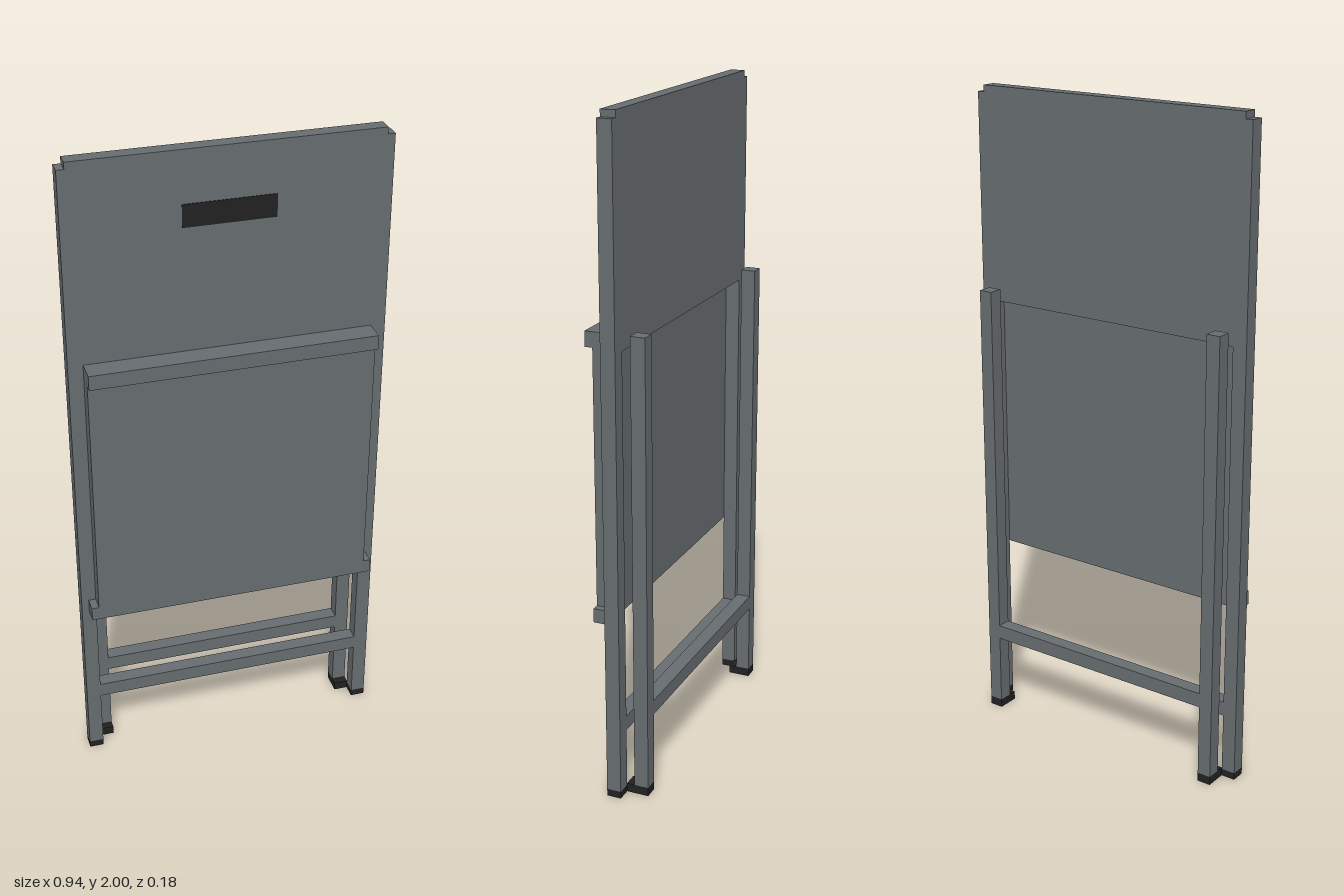
import * as THREE from 'three';

const frameGrey = new THREE.MeshStandardMaterial({ color: 0x666c6f });
frameGrey.name = 'frameGrey';
const rubberBlack = new THREE.MeshStandardMaterial({ color: 0x212121 });
rubberBlack.name = 'rubberBlack';

// Box given by its limits along each axis
function box(name, material, [x0, x1], [y0, y1], [z0, z1]) {
  const mesh = new THREE.Mesh(new THREE.BoxGeometry(x1 - x0, y1 - y0, z1 - z0), material);
  mesh.position.set((x0 + x1) / 2, (y0 + y1) / 2, (z0 + z1) / 2);
  mesh.name = name;
  return mesh;
}

export function createModel() {
  const model = new THREE.Group();
  model.name = 'foldedChair';

  const outer = 0.47, mid = 0.426, inner = 0.383; // leg edges in x
  const frontZ = [-0.022, 0.022];
  const rearZ = [-0.09, -0.046];
  const seatZ = [0.022, 0.067];

  // Legs and feet, mirrored
  for (const [side, s] of [['left', 1], ['right', -1]]) {
    const span = (a, b) => (s > 0 ? [a, b] : [-b, -a]);
    model.add(
      box(side + 'FrontUpright', frameGrey, span(mid, outer), [0.022, 1.98], frontZ),
      box(side + 'FrontFoot', rubberBlack, span(mid, outer), [0, 0.022], frontZ),
      box(side + 'RearLeg', frameGrey, span(inner, mid), [0.027, 1.4], rearZ),
      box(side + 'RearFoot', rubberBlack, span(inner, mid), [0, 0.027], [-0.09, -0.022]),
    );
  }

  // Crossbars
  model.add(
    box('frontCrossbar', frameGrey, [-mid, mid], [0.205, 0.25], frontZ),
    box('rearCrossbar', frameGrey, [-inner, inner], [0.25, 0.295], rearZ),
  );

  // Backrest with its top rail and hand grip
  model.add(
    box('backrest', frameGrey, [-mid, mid], [1.355, 1.98], frontZ),
    box('topRail', frameGrey, [-0.448, 0.448], [1.98, 2], frontZ),
    box('handGrip', rubberBlack, [-0.135, 0.135], [1.777, 1.845], [0.02, 0.024]),
  );

  // Folded seat with front lip and hinge rail
  model.add(
    box('seat', frameGrey, [-mid, mid], [0.588, 1.355], seatZ),
    box('seatLip', frameGrey, [-mid, mid], [1.355, 1.4], [0.022, 0.09]),
    box('seatHingeRail', frameGrey, [-0.448, 0.448], [0.545, 0.588], seatZ),
  );

  return model;
}
